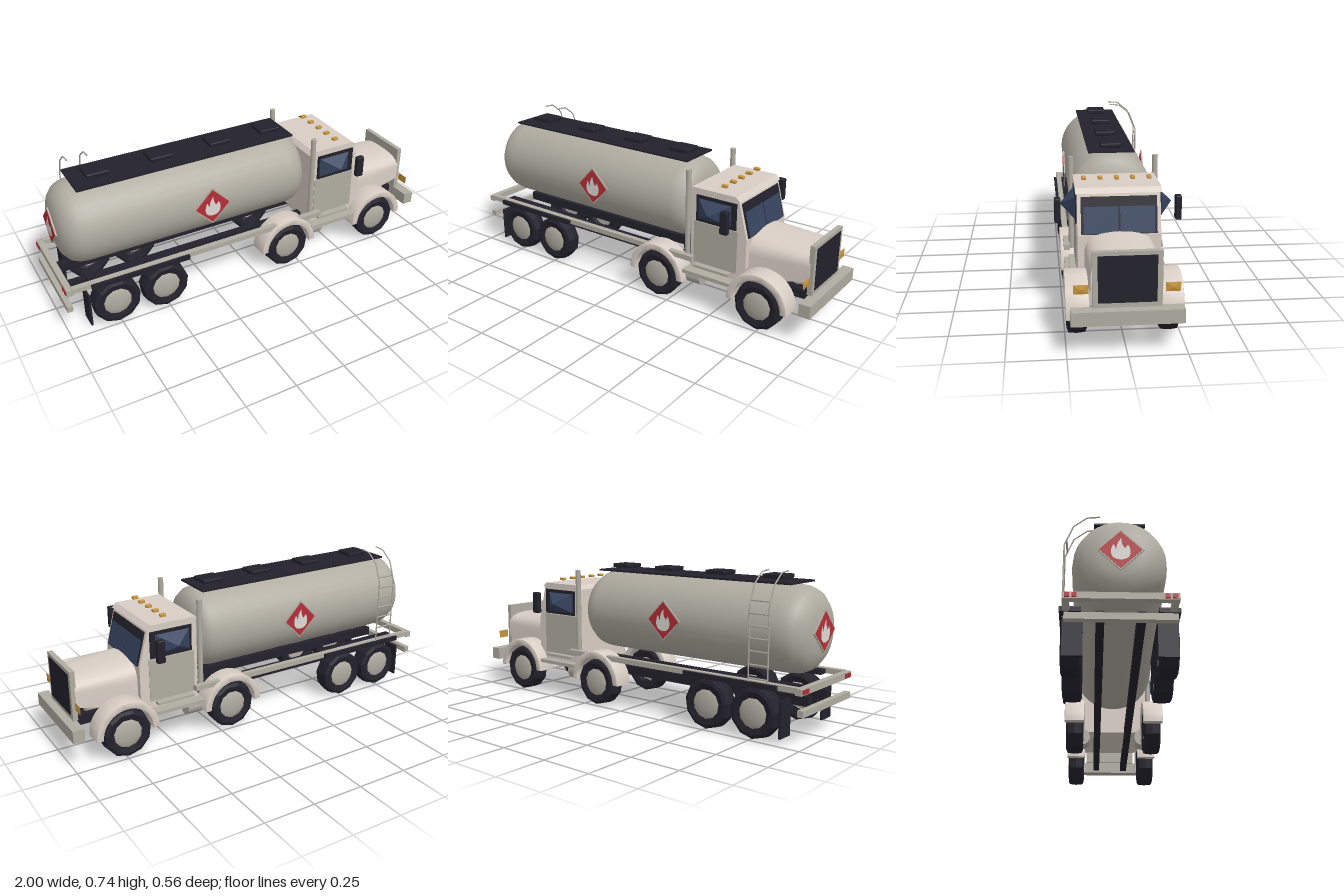
import * as THREE from 'three';
import { toCreasedNormals } from 'three/addons/utils/BufferGeometryUtils.js';
import { RoundedBoxGeometry } from 'three/addons/geometries/RoundedBoxGeometry.js';

const mat = (color, flatShading = false) =>
  new THREE.MeshStandardMaterial({ color, flatShading, side: THREE.DoubleSide });
const cream = mat(0xd8cdc4), steel = mat(0xb0aca1), dark = mat(0x23222c), tyreMat = mat(0x23222c, true);
const glass = mat(0x37445f, true), amber = mat(0xc8963c, true), red = mat(0xb52f38), white = mat(0xdedad4);

export function createModel() {
  const truck = new THREE.Group();
  truck.name = 'tankTruck';

  const add = (name, geo, material, parent = truck) => {
    const m = new THREE.Mesh(geo, material);
    m.name = name;
    parent.add(m);
    return m;
  };
  // box given by its limits on each axis
  const box = (name, material, x0, x1, y0, y1, z0, z1) =>
    add(name, new THREE.BoxGeometry(x1 - x0, y1 - y0, Math.abs(z1 - z0))
      .translate((x0 + x1) / 2, (y0 + y1) / 2, (z0 + z1) / 2), material);
  // side profile in x and y, extruded across the width
  const profile = (name, material, pts, halfWidth) =>
    add(name, new THREE.ExtrudeGeometry(new THREE.Shape(pts.map(p => new THREE.Vector2(...p))),
      { depth: 2 * halfWidth, bevelEnabled: false }).translate(0, 0, -halfWidth), material);
  // four-sided pyramid with unit base, apex on +y
  const pyramid = () => new THREE.ConeGeometry(Math.SQRT1_2, 1, 4).rotateY(Math.PI / 4).translate(0, 0.5, 0);
  const sides = [1, -1];

  // Tank: lathe turned to lie along x
  const tankPts = [[0, -0.965], [0.1, -0.96], [0.145, -0.945], [0.18, -0.915], [0.196, -0.88], [0.202, -0.83],
    [0.202, 0.22], [0.195, 0.26], [0.175, 0.29], [0.14, 0.31], [0.09, 0.318], [0, 0.32]];
  add('tank', toCreasedNormals(new THREE.LatheGeometry(tankPts.map(p => new THREE.Vector2(...p)), 32)
    .rotateZ(-Math.PI / 2).translate(0, 0.477, 0), 0.7), steel);
  box('walkway', dark, -0.86, 0.265, 0.682, 0.69, -0.11, 0.11);
  for (const x of [-0.735, -0.42, -0.11, 0.17])
    add('hatch', new RoundedBoxGeometry(0.11, 0.02, 0.1, 2, 0.005).translate(x, 0.708, 0), dark);

  // Hazard placards on both flanks and the rear
  const flame = new THREE.Shape();
  flame.moveTo(0, -0.05);
  flame.bezierCurveTo(-0.05, -0.05, -0.045, 0, -0.03, 0.025);
  flame.lineTo(-0.017, -0.002);
  flame.quadraticCurveTo(-0.02, 0.03, 0.004, 0.055);
  flame.quadraticCurveTo(0, 0.025, 0.018, 0.005);
  flame.lineTo(0.03, 0.022);
  flame.bezierCurveTo(0.045, 0, 0.05, -0.05, 0, -0.05);
  const placard = (x, z, turn) => {
    const g = new THREE.Group();
    g.name = 'hazardPlacard';
    const plate = (s, d) => new THREE.BoxGeometry(s, s, d).rotateZ(Math.PI / 4);
    add('placardBorder', plate(0.138, 0.006), steel, g);
    add('placardFace', plate(0.126, 0.009), red, g);
    add('flame', new THREE.ShapeGeometry(flame).translate(0, 0, 0.006), white, g);
    g.position.set(x, 0.48, z);
    g.rotation.y = turn;
    truck.add(g);
  };
  placard(-0.24, 0.209, 0);
  placard(-0.24, -0.209, Math.PI);
  placard(-0.971, 0, -Math.PI / 2);

  // Chassis, bumpers and rear lights
  box('frontBumper', steel, 0.945, 1, 0.142, 0.204, -0.233, 0.233);
  box('rearCrossbar', steel, -0.995, -0.965, 0.235, 0.265, -0.235, 0.235);
  box('rearBumper', steel, -1, -0.972, 0.14, 0.17, -0.225, 0.225);
  for (const s of sides) {
    box('chassisBeam', dark, -0.96, 0.96, 0.155, 0.2, s * 0.065, s * 0.1);
    box('sideRail', steel, -0.97, 0.38, 0.243, 0.268, s * 0.207, s * 0.235);
    box('rearMudguard', dark, -0.88, -0.385, 0.242, 0.264, s * 0.16, s * 0.25);
    box('mudFlap', dark, -0.9, -0.89, 0.03, 0.2, s * 0.15, s * 0.235);
    for (const z of [0.185, 0.215]) box('tailLight', red, -1, -0.99, 0.24, 0.26, s * (z - 0.01), s * (z + 0.01));
  }

  // Wheels: faceted tyre with a domed hub
  const tyrePts = [[0.07, 0.036], [0.1, 0.043], [0.116, 0.036], [0.12, 0], [0.116, -0.036], [0.1, -0.043], [0.07, -0.036]];
  const tyreGeo = new THREE.LatheGeometry(tyrePts.map(p => new THREE.Vector2(...p)), 11).rotateX(Math.PI / 2);
  const hubGeo = new THREE.SphereGeometry(0.08, 20, 8, 0, Math.PI * 2, 0, Math.PI / 2)
    .scale(1, 0.3, 1).rotateX(Math.PI / 2).translate(0, 0, 0.022);
  const rimGeo = new THREE.CylinderGeometry(0.074, 0.06, 0.04, 16).rotateX(Math.PI / 2);
  for (const x of [-0.76, -0.51, 0.18, 0.74])
    for (const s of sides) {
      const wheel = new THREE.Group();
      wheel.name = 'wheel';
      add('tyre', tyreGeo, tyreMat, wheel);
      add('hub', hubGeo, steel, wheel);
      add('rim', rimGeo, steel, wheel);
      wheel.position.set(x, 0.122, s * 0.199);
      wheel.rotation.y = s > 0 ? 0 : Math.PI;
      truck.add(wheel);
    }

  // Arched fenders over the drive and steering wheels
  const arch = new THREE.Shape();
  arch.absarc(0, 0, 0.152, 0, Math.PI, false);
  arch.absarc(0, 0, 0.127, Math.PI, 0, true);
  const fenderGeo = toCreasedNormals(new THREE.ExtrudeGeometry(arch,
    { depth: 0.09, bevelThickness: 0.005, bevelSize: 0.004, bevelSegments: 2, curveSegments: 18 }), 0.6);
  for (const x of [0.18, 0.74])
    for (const s of sides) add('fender', fenderGeo, cream).position.set(x, 0.127, s > 0 ? 0.155 : -0.245);

  // Cab shell and roof
  profile('cab', cream, [[0.345, 0.18], [0.615, 0.18], [0.645, 0.26], [0.645, 0.405], [0.597, 0.59], [0.345, 0.59]], 0.184);
  profile('cabRoof', cream, [[0.33, 0.582], [0.606, 0.582], [0.585, 0.604], [0.35, 0.604]], 0.19);
  for (const z of [-0.147, -0.073, 0, 0.073, 0.147])
    add('roofLight', new RoundedBoxGeometry(0.03, 0.014, 0.02, 1, 0.003).translate(0.5, 0.626, z), amber);

  // Windscreen, tilted to follow the cab front
  const screen = new THREE.Group();
  screen.name = 'windscreen';
  add('screenFrame', new THREE.BoxGeometry(0.008, 0.166, 0.335), dark, screen);
  for (const s of sides)
    add('screenPane', new THREE.BoxGeometry(0.006, 0.118, 0.152).translate(0.004, -0.02, s * 0.08), glass, screen);
  screen.position.set(0.624, 0.488, 0);
  screen.rotation.z = 0.254;
  truck.add(screen);

  // Bonnet: arched section extruded forward, its height tapering toward the grille
  const section = new THREE.Shape();
  section.moveTo(-1, 0);
  section.lineTo(-1, 0.55);
  section.bezierCurveTo(-1, 0.88, -0.7, 1, 0, 1);
  section.bezierCurveTo(0.7, 1, 1, 0.88, 1, 0.55);
  section.lineTo(1, 0);
  const hood = new THREE.ExtrudeGeometry(section, { depth: 1, bevelEnabled: false, curveSegments: 10 });
  const p = hood.attributes.position, mix = THREE.MathUtils.lerp;
  for (let i = 0; i < p.count; i++) {
    const t = p.getZ(i);
    p.setXYZ(i, 0.64 + 0.305 * t, mix(mix(0.2, 0.27, t), mix(0.422, 0.4, t), p.getY(i)), -p.getX(i) * mix(0.155, 0.148, t));
  }
  add('bonnet', toCreasedNormals(hood, 0.6), cream);

  // Grille
  box('grilleSurround', steel, 0.938, 0.962, 0.205, 0.445, -0.143, 0.143);
  box('grille', dark, 0.95, 0.965, 0.226, 0.428, -0.121, 0.121);

  // Paired cab fittings
  for (const s of sides) {
    box('door', steel, 0.362, 0.598, 0.225, 0.435, s * 0.182, s * 0.187);
    box('windowFrame', dark, 0.375, 0.59, 0.44, 0.57, s * 0.182, s * 0.19);
    add('sideWindow', pyramid().rotateX(s * Math.PI / 2).scale(0.175, 0.1, 0.064).translate(0.475, 0.504, s * 0.19), glass);
    add('mirror', new RoundedBoxGeometry(0.04, 0.11, 0.028, 2, 0.006).translate(0.576, 0.504, s * 0.268), dark);
    add('headlight', pyramid().rotateZ(-Math.PI / 2).scale(0.005, 0.04, 0.062).translate(0.952, 0.284, s * 0.188), amber);
    add('exhaustStack', new THREE.CylinderGeometry(0.0135, 0.0135, 0.445, 10).translate(0.335, 0.463, s * 0.197), steel);
    box('lowerStep', steel, 0.33, 0.6, 0.172, 0.19, s * 0.14, s * 0.235);
    box('upperStep', steel, 0.38, 0.57, 0.21, 0.222, s * 0.17, s * 0.215);
    add('fuelTank', new THREE.CylinderGeometry(0.045, 0.045, 0.08, 16).rotateZ(Math.PI / 2)
      .translate(0.37, 0.148, s * 0.165), steel);
  }

  // Ladder on one flank, bending over the tank top
  const rail = [[0.24, -0.238], [0.595, -0.238], [0.69, -0.2], [0.738, -0.14], [0.742, -0.085]];
  for (const x of [-0.833, -0.735]) {
    const path = new THREE.CurvePath();
    for (let i = 1; i < rail.length; i++)
      path.add(new THREE.LineCurve3(new THREE.Vector3(x, ...rail[i - 1]), new THREE.Vector3(x, ...rail[i])));
    add('ladderRail', new THREE.TubeGeometry(path, 40, 0.0035, 6), steel);
  }
  for (const [y, z] of [[0.28, -0.238], [0.34, -0.238], [0.4, -0.238], [0.455, -0.238], [0.51, -0.238], [0.565, -0.238], [0.62, -0.228]])
    add('ladderRung', new THREE.CylinderGeometry(0.004, 0.004, 0.1, 6).rotateZ(Math.PI / 2).translate(-0.784, y, z), steel);

  return truck;
}
